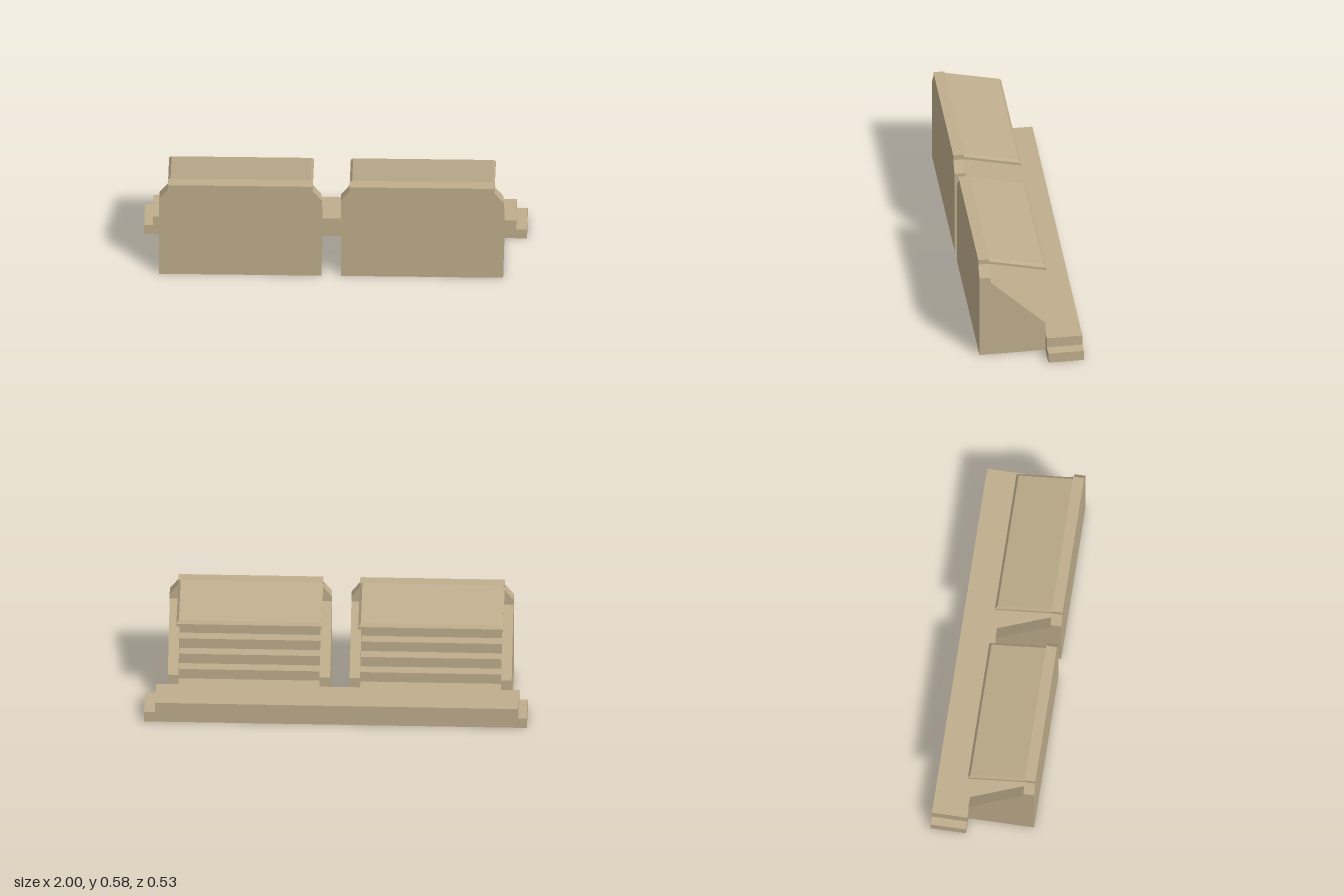
import * as THREE from 'three';
import { ConvexGeometry } from 'three/addons/geometries/ConvexGeometry.js';

const STEP = 0.0577;
const FRONT = 0.267, WALL = 0.21, OPEN = -0.08; // z of outer wall, inner wall face, open side

export function createModel() {
  const model = new THREE.Group();
  model.name = 'grandstand';
  const concrete = new THREE.MeshStandardMaterial({ color: 0xbfad8c });
  concrete.name = 'sandy concrete';

  const add = (parent, name, geometry) => {
    const mesh = new THREE.Mesh(geometry, concrete);
    mesh.name = name;
    parent.add(mesh);
    return mesh;
  };
  const box = (parent, name, x0, x1, y0, y1, z0, z1) =>
    add(parent, name, new THREE.BoxGeometry(x1 - x0, y1 - y0, z1 - z0)
      .translate((x0 + x1) / 2, (y0 + y1) / 2, (z0 + z1) / 2));
  const extrude = (points, depth) => new THREE.ExtrudeGeometry(
    new THREE.Shape(points.map(([a, b]) => new THREE.Vector2(a, b))),
    { depth, bevelEnabled: false });
  // Extrudes a (z, y) profile along x from x0 to x1
  const extrudeX = (points, x0, x1) =>
    extrude(points.map(([z, y]) => [-z, y]), x1 - x0).rotateY(Math.PI / 2).translate(x0, 0, 0);

  // Two-tier walkway along the back
  box(model, 'lowerWalkway', -1, 1, 0, STEP, -FRONT, OPEN);
  box(model, 'upperWalkway', -0.955, 0.943, STEP, 2 * STEP, -FRONT, OPEN);

  const stand = (name, x0, x1) => {
    const group = new THREE.Group();
    group.name = name;
    model.add(group);
    const c = 0.045, t = 0.055;

    // Tall wall with clipped upper corners
    add(group, 'wall', extrude([
      [x0, 0], [x1, 0], [x1, 0.49], [x1 - c, 0.548], [x1 - c, 0.577],
      [x0 + c, 0.577], [x0 + c, 0.548], [x0, 0.49],
    ], FRONT - WALL).translate(0, 0, WALL));

    // Sloping side walls
    const cheek = [[WALL, 0], [WALL, 0.461], [OPEN, 0.173], [OPEN, 0]];
    add(group, 'rightSideWall', extrudeX(cheek, x0, x0 + t));
    add(group, 'leftSideWall', extrudeX(cheek, x1 - t, x1));

    // Seating steps, as one stair profile
    const stairs = [[WALL, 0], [OPEN, 0]];
    const run = (WALL - OPEN) / 5;
    for (let i = 0; i < 5; i++) {
      const y = (i + 2) * STEP;
      stairs.push([OPEN + i * run, y], [OPEN + (i + 1) * run, y]);
    }
    add(group, 'seatingSteps', extrudeX(stairs, x0 + t, x1 - t));

    // Sloping canopy with bevelled upper edges
    const points = [];
    for (const [x, inset] of [[x0 + c, 0.013], [x1 - c, -0.013]]) {
      points.push(
        new THREE.Vector3(x, 0.548, WALL), new THREE.Vector3(x, 0.563, WALL),
        new THREE.Vector3(x + inset, 0.577, WALL),
        new THREE.Vector3(x + inset, 0.51, -0.077),
        new THREE.Vector3(x, 0.493, -0.09), new THREE.Vector3(x, 0.478, -0.09));
    }
    add(group, 'canopy', new ConvexGeometry(points));
  };
  stand('rightStand', -0.915, -0.068);
  stand('leftStand', 0.034, 0.882);

  return model;
}
